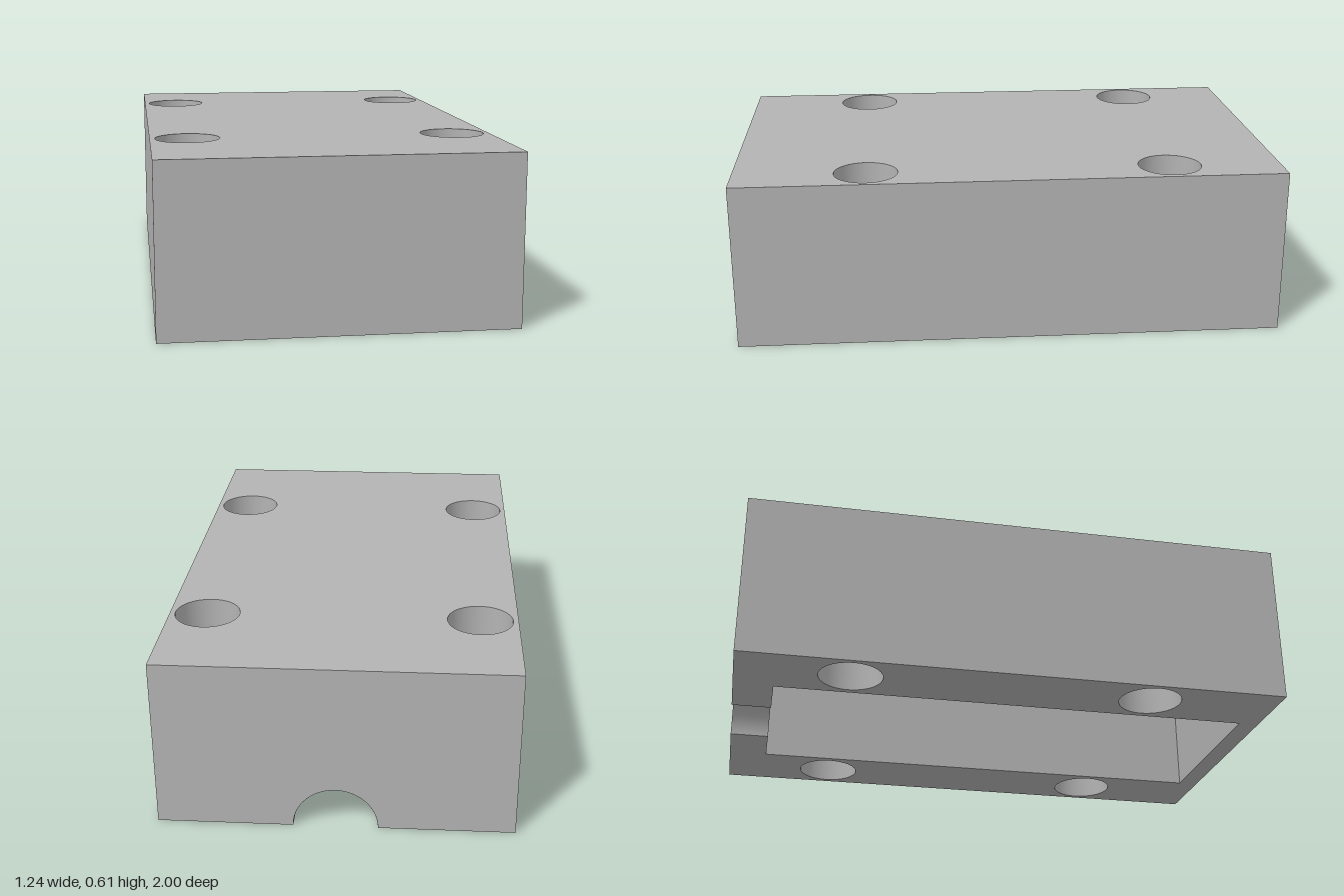
import * as THREE from 'three';

const W = 0.62, L = 1, H = 0.61;                    // block half width, half length, height
const PW = 0.345, PB = -0.855, PF = 0.925, PH = 0.41; // pocket half width, back, front, depth
const R = 0.147;                                     // cable groove radius
const HOLE_R = 0.116, HOLE_X = 0.485, HOLE_Z = [-0.59, 0.52];
const SEG = 48;

export function createModel() {
  const group = new THREE.Group();
  const grey = new THREE.MeshStandardMaterial({ color: 0xb3b3b3, side: THREE.DoubleSide });
  grey.name = 'grey';

  const add = (name, geometry, x = 0, y = 0, z = 0, turn = 0) => {
    const mesh = new THREE.Mesh(geometry, grey);
    mesh.name = name;
    mesh.position.set(x, y, z);
    mesh.rotation.y = turn;
    group.add(mesh);
  };

  const polygon = (pts) => new THREE.Shape(pts.map(([x, y]) => new THREE.Vector2(x, y)));
  const rect = (w, y0, y1) => polygon([[-w, y0], [w, y0], [w, y1], [-w, y1]]);
  const face = (shape) => new THREE.ShapeGeometry(shape, SEG / 2);

  // Upright wall with a half-round notch in its lower edge
  const archWall = (w, h) => {
    const s = new THREE.Shape();
    s.moveTo(-w, 0);
    s.lineTo(-R, 0);
    s.absarc(0, 0, R, Math.PI, 0, true);
    s.lineTo(w, 0);
    s.lineTo(w, h);
    s.lineTo(-w, h);
    return s;
  };

  // Cut the four screw holes; zSign allows for the way the face is laid flat
  const drill = (shape, zSign) => {
    for (const x of [-HOLE_X, HOLE_X]) for (const z of HOLE_Z) {
      shape.holes.push(new THREE.Path().absarc(x, z * zSign, HOLE_R, 0, Math.PI * 2, true));
    }
    return shape;
  };

  // Top and underside
  add('topFace', face(drill(rect(W, -L, L), -1)).rotateX(-Math.PI / 2), 0, H, 0);
  const rim = polygon([
    [-W, -L], [-R, -L], [-R, PB], [-PW, PB], [-PW, PF], [PW, PF],
    [PW, PB], [R, PB], [R, -L], [W, -L], [W, L], [-W, L],
  ]);
  add('bottomRim', face(drill(rim, 1)).rotateX(Math.PI / 2));

  // Outer walls
  add('frontWall', face(rect(W, 0, H)), 0, 0, L);
  add('backWall', face(archWall(W, H)), 0, 0, -L, Math.PI);

  // Pocket
  add('pocketCeiling', face(rect(PW, PB, PF)).rotateX(Math.PI / 2), 0, PH, 0);
  add('pocketFrontWall', face(rect(PW, 0, PH)), 0, 0, PF, Math.PI);
  add('pocketBackWall', face(archWall(PW, PH)), 0, 0, PB);

  // Long walls of block and pocket, mirrored
  for (const [side, s] of [['left', 1], ['right', -1]]) {
    add(side + 'Wall', face(rect(L, 0, H)), s * W, 0, 0, s * Math.PI / 2);
    add(side + 'PocketWall', face(rect((PF - PB) / 2, 0, PH)),
      s * PW, 0, (PF + PB) / 2, -s * Math.PI / 2);
  }

  // Half-round cable groove from the pocket out through the back
  const len = L + PB;
  const groove = new THREE.CylinderGeometry(R, R, len, SEG / 2, 1, true, Math.PI / 2, Math.PI);
  add('cableGroove', groove.rotateX(Math.PI / 2), 0, 0, -L + len / 2);

  // Screw hole bores
  const bore = new THREE.CylinderGeometry(HOLE_R, HOLE_R, H, SEG, 1, true);
  for (const x of [-HOLE_X, HOLE_X]) for (const z of HOLE_Z) add('screwHole', bore, x, H / 2, z);

  return group;
}
